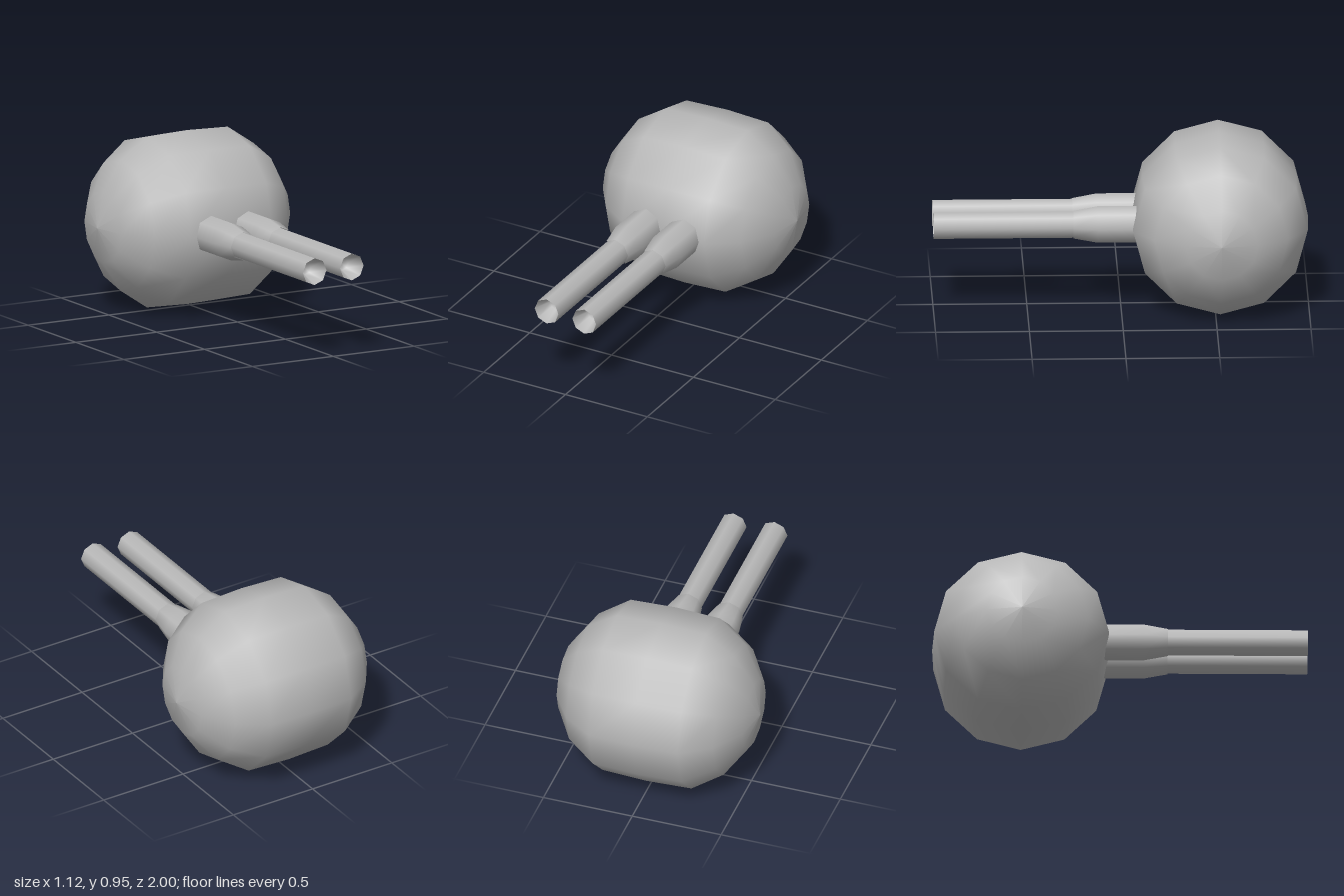
import * as THREE from 'three';

const steel = new THREE.MeshStandardMaterial({ color: 0xb8b8b8 });
steel.name = 'steel grey';

const CENTRE_Y = 0.478;

// Turned part from [radius, height] points
function turned(name, points, sides) {
  const profile = points.map(([r, h]) => new THREE.Vector2(r, h));
  const mesh = new THREE.Mesh(new THREE.LatheGeometry(profile, sides), steel);
  mesh.name = name;
  return mesh;
}

export function createModel() {
  const model = new THREE.Group();
  model.name = 'twinGunTurret';

  // Twelve-sided rounded housing, turned about the x axis
  const half = [[0.474, 0], [0.465, 0.25], [0.357, 0.412], [0.192, 0.523], [0, 0.558]];
  const outline = [...half.slice(1).reverse().map(([r, h]) => [r, -h]), ...half];
  const housing = turned('housing', outline, 12);
  housing.rotation.z = -Math.PI / 2;
  housing.position.set(0, CENTRE_Y, -0.525);
  model.add(housing);

  // Pair of eight-sided guns pointing forward
  for (const side of [-1, 1]) {
    const gun = new THREE.Group();
    gun.name = side > 0 ? 'leftGun' : 'rightGun';
    gun.add(
      turned('sleeve', [[0.102, -0.2], [0.102, 0.125], [0.077, 0.255]], 8),
      turned('barrel', [[0.073, 0.2], [0.073, 1]], 8),
      // Tapered bore closed at its inner end
      turned('bore', [[0.073, 1], [0.035, 0.9], [0, 0.9]], 8),
    );
    gun.rotation.x = Math.PI / 2;
    gun.position.set(side * 0.115, CENTRE_Y, 0);
    model.add(gun);
  }
  return model;
}
